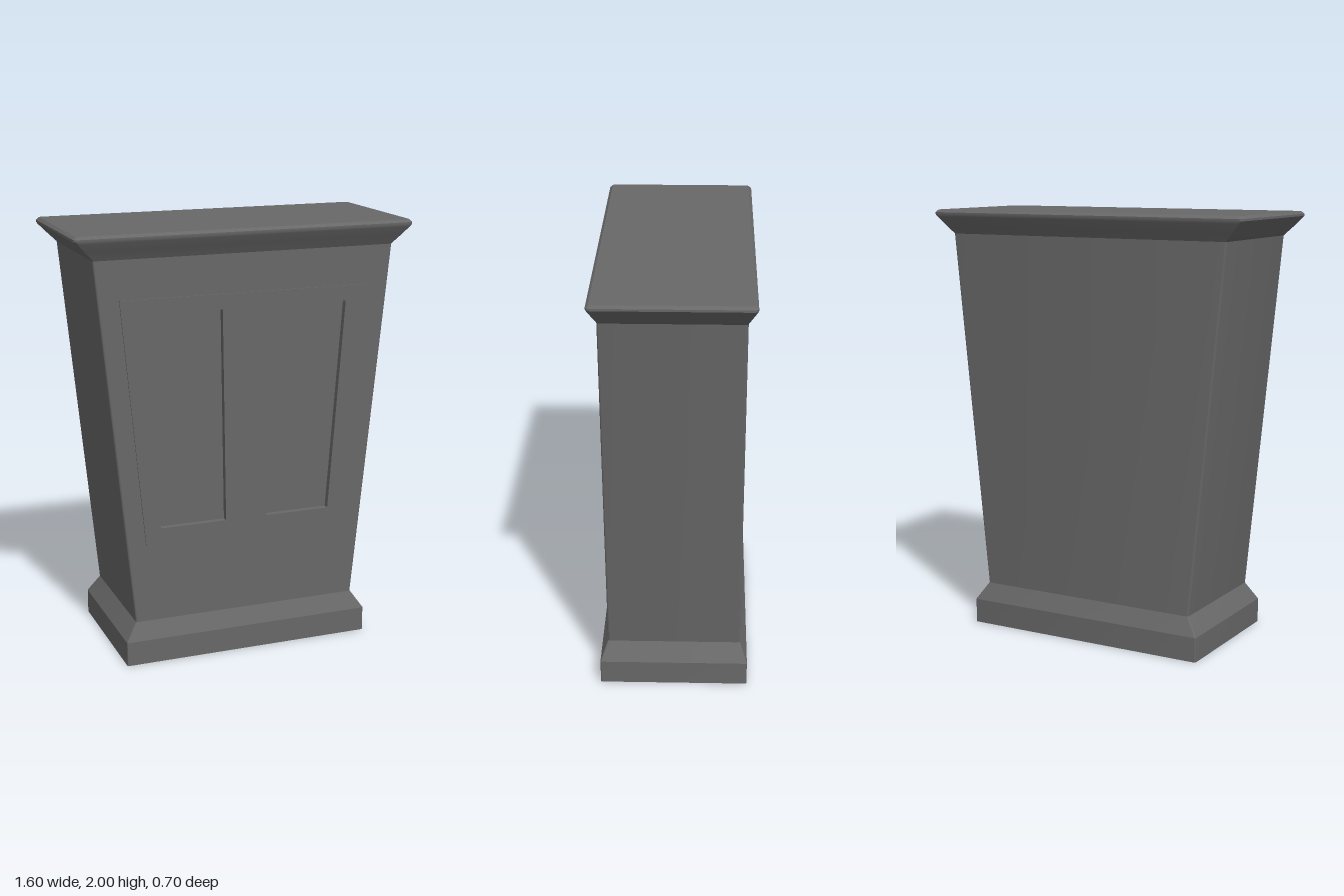
import * as THREE from 'three';
import { toCreasedNormals } from 'three/addons/utils/BufferGeometryUtils.js';

const material = new THREE.MeshStandardMaterial({ color: 0x686868, side: THREE.DoubleSide });
const STEPS = 6; // segments per rounded corner

function part(name, geometry, z = 0) {
  const mesh = new THREE.Mesh(geometry, material);
  mesh.name = name;
  mesh.position.z = z;
  return mesh;
}

// Rounded rectangle outline, starting at the front left corner
function ring([y, hx, hz, r]) {
  const pts = [];
  [[1, 1], [-1, 1], [-1, -1], [1, -1]].forEach(([sx, sz], q) => {
    for (let i = 0; i <= STEPS; i++) {
      const a = (q + i / STEPS) * Math.PI / 2;
      pts.push([sx * (hx - r) + r * Math.cos(a), y, sz * (hz - r) + r * Math.sin(a)]);
    }
  });
  return pts;
}

// Skin through rings given as [y, halfWidth, halfDepth, cornerRadius]
function loft(sections, { crease = 0.3, capTop = false, openFront = false } = {}) {
  const rings = sections.map(ring);
  const n = rings[0].length;
  const index = [];
  for (let k = 0; k < rings.length - 1; k++) {
    for (let i = 0; i < n; i++) {
      if (openFront && i === STEPS) continue;
      const j = (i + 1) % n;
      const a = k * n + i, b = k * n + j;
      index.push(a, a + n, b, b, a + n, b + n);
    }
  }
  if (capTop) {
    const t = (rings.length - 1) * n;
    for (let i = 1; i < n - 1; i++) index.push(t, t + i + 1, t + i);
  }
  const g = new THREE.BufferGeometry();
  g.setAttribute('position', new THREE.Float32BufferAttribute(rings.flat(2), 3));
  g.setIndex(index);
  return toCreasedNormals(g, crease);
}

// Four-sided outline with level top and bottom edges
function trapezoid(y0, l0, r0, y1, l1, r1) {
  return [[l0, y0], [r0, y0], [r1, y1], [l1, y1]].map(([x, y]) => new THREE.Vector2(x, y));
}

export function createModel() {
  const group = new THREE.Group();
  const yLow = 0.198, yHigh = 1.888, wLow = 0.545, wHigh = 0.712, depth = 0.311;
  const round = 0.01, recess = 0.288, raised = 0.317;

  // Plinth, open underneath
  group.add(part('plinth', loft([
    [0, 0.6, 0.345, 0.006],
    [0.115, 0.6, 0.345, 0.006],
    [yLow, wLow, depth, round],
  ])));

  // Flared body with softened corners
  group.add(part('bodySidesAndBack', loft([
    [yLow, wLow, depth, round],
    [yHigh, wHigh, depth, round],
  ], { openFront: true })));

  // Body front: its opening holds the door panel
  const front = new THREE.Shape(
    trapezoid(yLow, round - wLow, wLow - round, yHigh, round - wHigh, wHigh - round));
  const panelOutline = trapezoid(0.57, -0.492, 0.488, 1.71, -0.597, 0.59);
  front.holes.push(new THREE.Path(panelOutline));
  group.add(part('bodyFront', new THREE.ShapeGeometry(front), depth));

  // Slightly raised panel with two sunken fields
  const fields = {
    sunkenFieldLeft: trapezoid(0.645, 0.098, 0.41, 1.64, 0.114, 0.482),
    sunkenFieldRight: trapezoid(0.645, -0.42, -0.104, 1.64, -0.492, -0.12),
  };
  const panel = new THREE.Shape(panelOutline);
  for (const [name, outline] of Object.entries(fields)) {
    panel.holes.push(new THREE.Path(outline));
    group.add(part(name, new THREE.ShapeGeometry(new THREE.Shape(outline)), recess));
  }
  group.add(part('frontPanel', new THREE.ExtrudeGeometry(panel, {
    depth: raised - recess, bevelEnabled: false,
  }), recess));

  // Cornice with a chamfered rim and flat top
  group.add(part('cornice', loft([
    [yHigh, wHigh, depth, round],
    [1.93, 0.755, 0.328, 0.012],
    [1.968, 0.792, 0.345, 0.018],
    [1.978, 0.8, 0.349, 0.02],
    [1.988, 0.8, 0.349, 0.02],
    [2, 0.787, 0.336, 0.014],
  ], { crease: 0.55, capTop: true })));

  return group;
}
